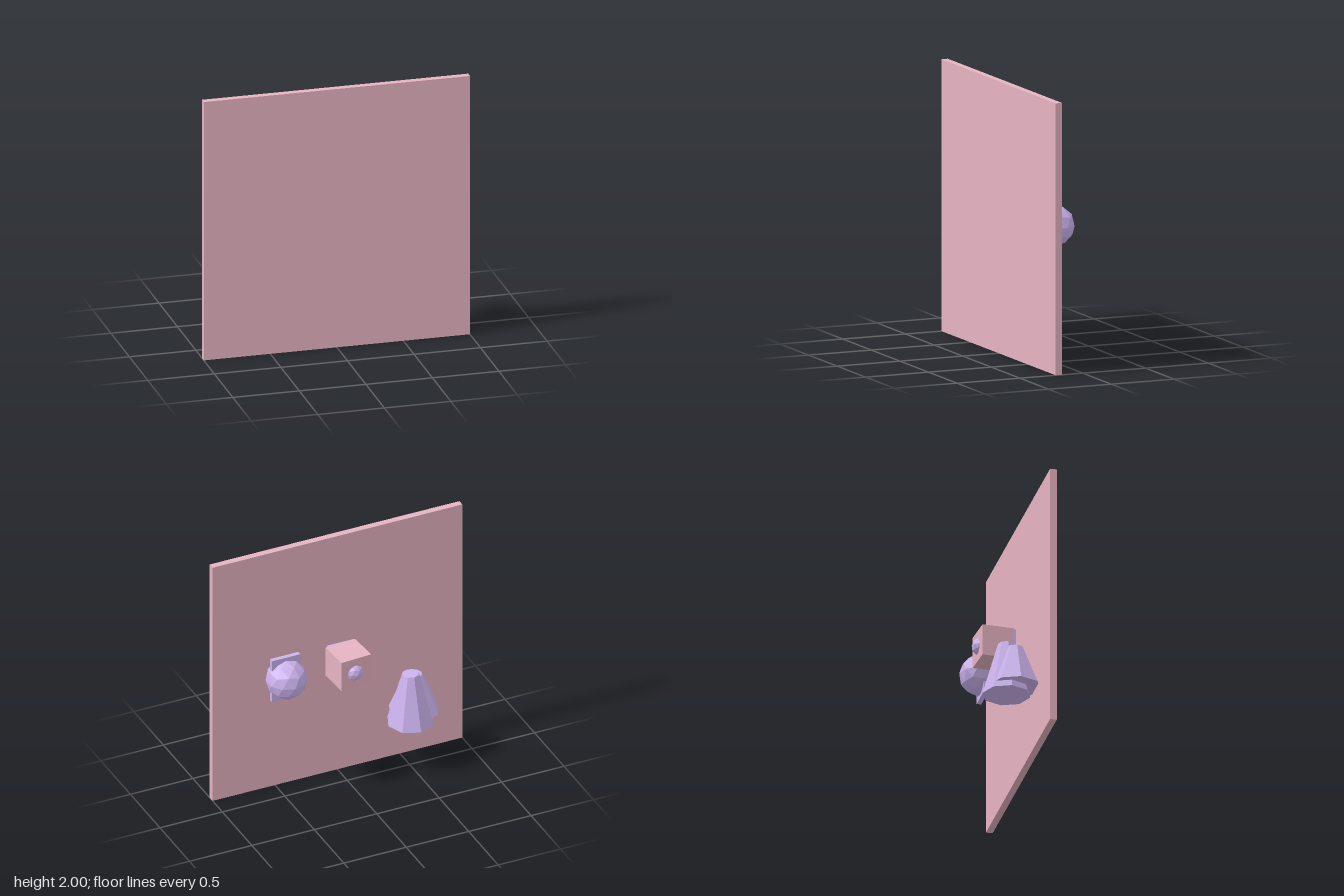
import * as THREE from 'three';

export function createModel() {
  const model = new THREE.Group();
  const pink = new THREE.MeshStandardMaterial({ color: 0xe6b3c1, flatShading: true });
  const purple = new THREE.MeshStandardMaterial({ color: 0xccb3ee, flatShading: true });

  function add(name, geometry, material, x, y, z) {
    const mesh = new THREE.Mesh(geometry, material);
    mesh.name = name;
    mesh.position.set(x, y, z);
    model.add(mesh);
    return mesh;
  }

  // Faceted ball with a vertex pointing straight up
  const ball = (radius) =>
    new THREE.IcosahedronGeometry(radius, 1).rotateZ(Math.atan(2 / (1 + Math.sqrt(5))));

  // Eight-sided cone with its tip cut off, placed by its bottom and top heights
  function cone(name, x, z, bottom, top, rTop, rBottom) {
    const geometry = new THREE.CylinderGeometry(rTop, rBottom, top - bottom, 8);
    add(name, geometry, purple, x, (top + bottom) / 2, z);
  }

  // Large upright wall panel
  add('wallPanel', new THREE.BoxGeometry(2, 2, 0.05), pink, 0, 1, 0.19);

  // Slightly turned cube with a knob behind and a block set into its front
  add('cube', new THREE.BoxGeometry(0.245, 0.24, 0.24), pink, 0, 1, -0.018).rotation.y = 0.06;
  add('cubeKnob', ball(0.07), purple, 0, 1, -0.11);
  add('cubeBlock', new THREE.BoxGeometry(0.215, 0.225, 0.1), purple, -0.004, 1, 0.073);

  // Ball with a thin plate through it
  add('ball', ball(0.153), purple, 0.488, 1.004, -0.003);
  add('ballPlate', new THREE.BoxGeometry(0.225, 0.355, 0.035), purple, 0.488, 1.006, 0.018);

  // Two overlapping cut-off cones
  cone('tallCone', -0.49, -0.038, 0.4, 0.805, 0.062, 0.178);
  cone('shortCone', -0.54, 0.015, 0.45, 0.76, 0.062, 0.19);

  return model;
}
